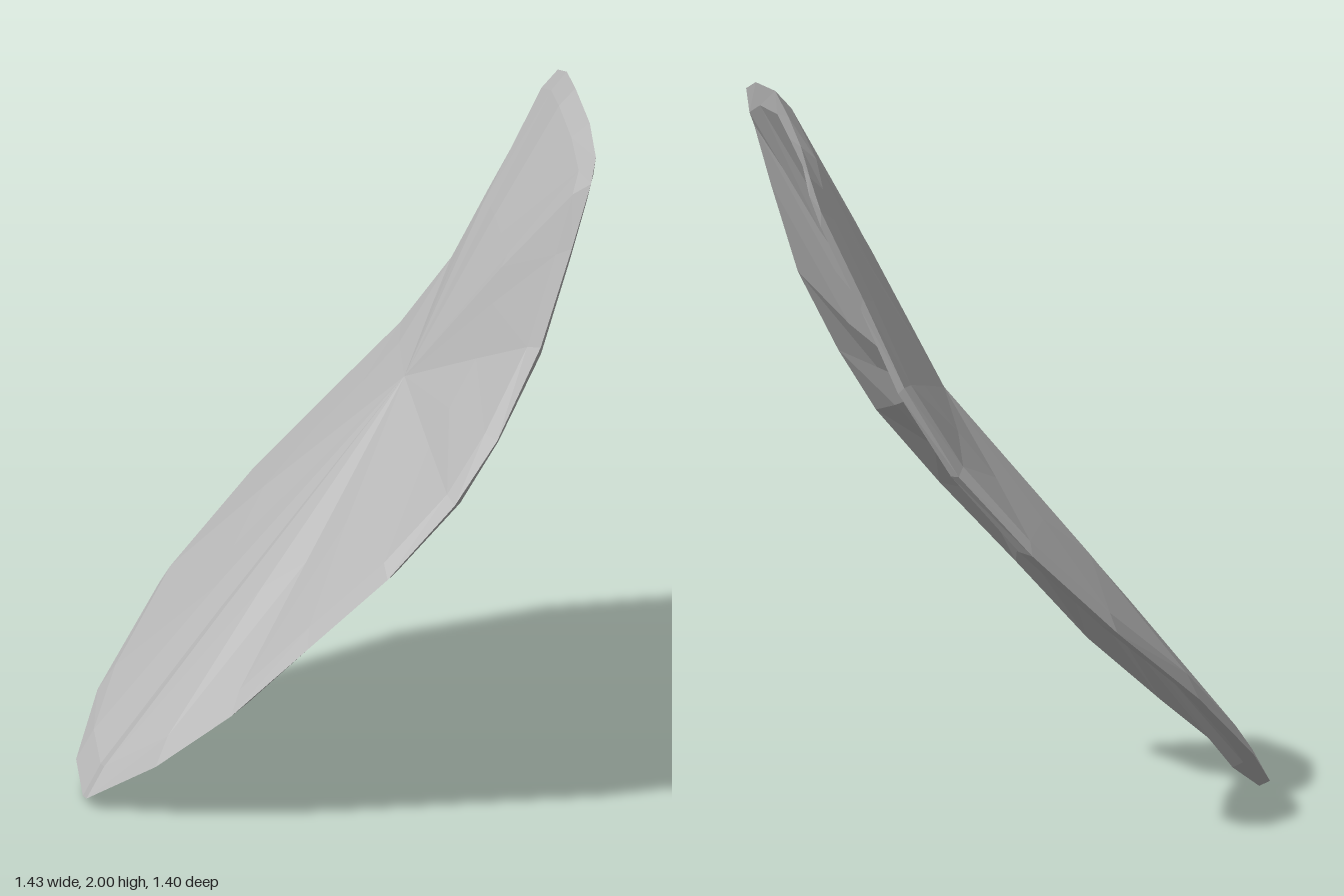
import * as THREE from 'three';

// Outer rim of the leaning flake, clockwise seen from above
const RIM = [
  [-0.66, 0, -0.47], [-0.55, 0.04, -0.58], [-0.34, 0.15, -0.67], [-0.03, 0.35, -0.7],
  [0.28, 0.57, -0.64], [0.49, 0.8, -0.5], [0.6, 1.02, -0.33], [0.645, 1.26, -0.18],
  [0.67, 1.5, -0.06], [0.715, 1.74, 0.05], [0.71, 1.83, 0.09], [0.65, 1.9, 0.16],
  [0.55, 1.96, 0.27], [0.41, 2, 0.41], [0.27, 1.99, 0.57], [0.17, 1.95, 0.67],
  [0.11, 1.9, 0.7], [0.05, 1.72, 0.68], [-0.05, 1.45, 0.65], [-0.18, 1.2, 0.6],
  [-0.28, 1.02, 0.53], [-0.4, 0.8, 0.39], [-0.5, 0.57, 0.19], [-0.6, 0.35, 0],
  [-0.68, 0.17, -0.2], [-0.72, 0.03, -0.41],
].map((p) => new THREE.Vector3(...p));

const NORMAL = new THREE.Vector3(-1, 1, -1).normalize();

// Ring between the hub (t = 0) and the rim (t = 1), lifted along the plate normal
function ring(hub, t, lift, rough) {
  return RIM.map((p, i) =>
    hub.clone().lerp(p, t).addScaledVector(NORMAL, lift + rough * Math.sin(i * 2.4)));
}

export function createModel() {
  const stone = new THREE.MeshStandardMaterial({ color: 0xb6b6b6 });
  stone.name = 'grey stone';

  const topHub = new THREE.Vector3(0.07, 1.16, 0.08);
  const underHub = new THREE.Vector3(0.1, 1.15, 0.1);
  const loops = [
    RIM.map(() => topHub),
    ring(topHub, 0.55, 0.015, 0.006),
    ring(topHub, 0.93, 0.016, 0.003),
    RIM,
    ring(underHub, 0.94, -0.024, 0.003),
    ring(underHub, 0.55, -0.022, 0.01),
    RIM.map(() => underHub),
  ];

  // Join neighbouring loops with separate triangles, giving flat facets
  const pos = [];
  const tri = (a, b, c) => {
    if (!a.equals(b) && !b.equals(c) && !c.equals(a)) {
      for (const v of [a, b, c]) pos.push(v.x, v.y, v.z);
    }
  };
  for (let k = 0; k < loops.length - 1; k++) {
    for (let i = 0; i < RIM.length; i++) {
      const j = (i + 1) % RIM.length;
      const [a, b, c, d] = [loops[k][i], loops[k][j], loops[k + 1][i], loops[k + 1][j]];
      tri(a, d, c);
      tri(a, b, d);
    }
  }
  const geometry = new THREE.BufferGeometry();
  geometry.setAttribute('position', new THREE.Float32BufferAttribute(pos, 3));
  geometry.computeVertexNormals();

  const flake = new THREE.Mesh(geometry, stone);
  flake.name = 'stoneFlake';
  const group = new THREE.Group();
  group.name = 'stoneShard';
  group.add(flake);
  return group;
}
